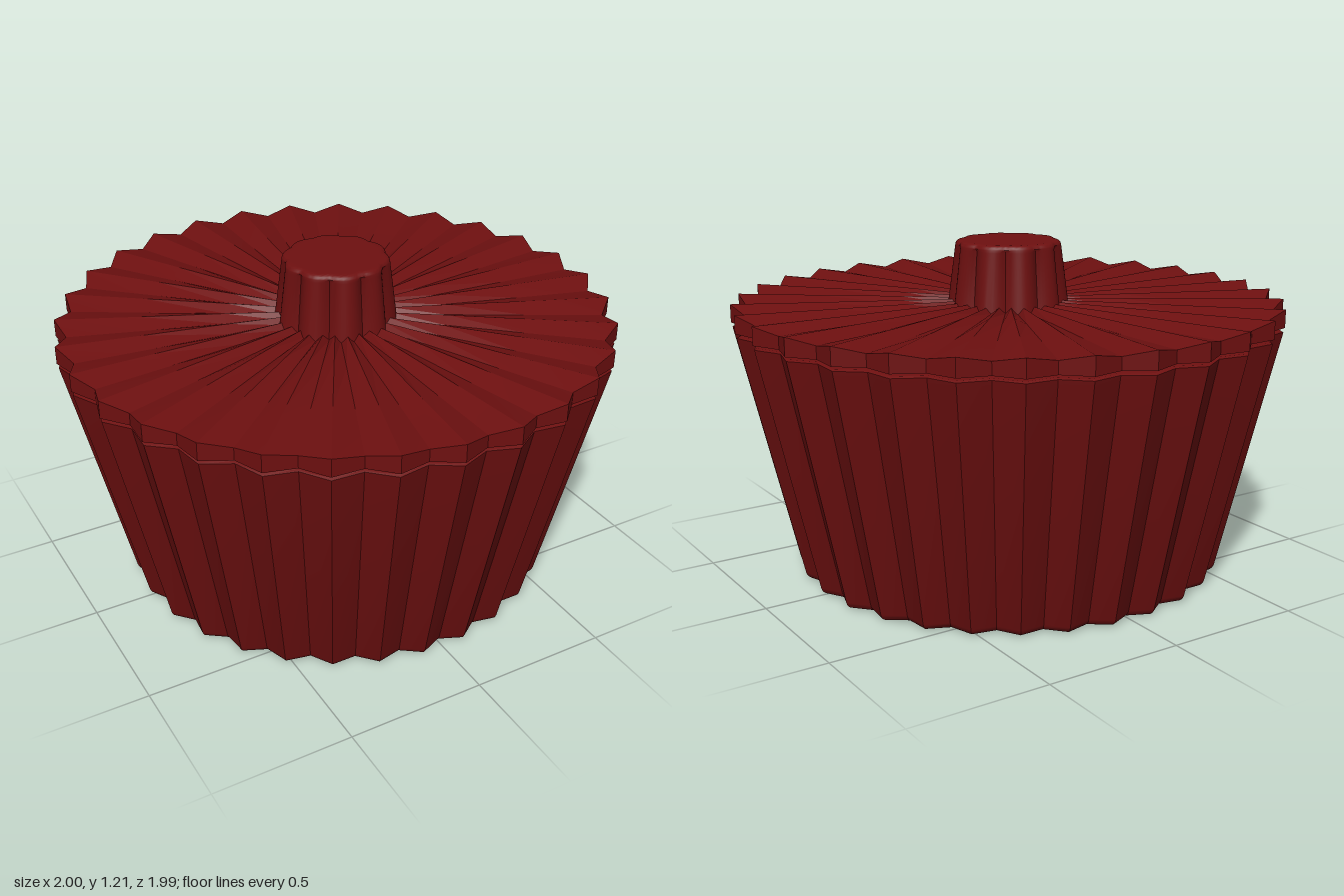
import * as THREE from 'three';
import { toCreasedNormals } from 'three/addons/utils/BufferGeometryUtils.js';

const PLEATS = 30, LOBES = 10;
const zigzag = (j) => j % 2; // 0 on a ridge, 1 in a valley
const scallop = (j) => 1 - Math.abs(Math.cos((j / 120) * LOBES * Math.PI)); // rounded lobes, sharp grooves

// Sweep a profile of [radius, height, groove depth, groove drop], bottom to top, round the y axis
function sweep(name, profile, steps, wave, crease, material) {
  const pos = [], index = [];
  for (const [r, y, depth = 0, drop = 0] of profile) {
    for (let j = 0; j < steps; j++) {
      const a = (j / steps) * Math.PI * 2, w = wave(j), rr = r - depth * w;
      pos.push(rr * Math.cos(a), y - drop * w, -rr * Math.sin(a));
    }
  }
  for (let i = 0; i < profile.length - 1; i++) {
    for (let j = 0; j < steps; j++) {
      const k = (j + 1) % steps;
      const a = i * steps + j, b = i * steps + k, c = b + steps, d = a + steps;
      if (profile[i][0] > 0) index.push(a, b, c);
      if (profile[i + 1][0] > 0) index.push(a, c, d);
      else if (profile[i][0] > 0) continue;
    }
  }
  const geo = new THREE.BufferGeometry();
  geo.setAttribute('position', new THREE.Float32BufferAttribute(pos, 3));
  geo.setIndex(index);
  const mesh = new THREE.Mesh(toCreasedNormals(geo, crease), material);
  mesh.name = name;
  return mesh;
}

// Quarter-round profile points between two directions
function round(cx, cy, radius, from, to, depth, n = 5) {
  return Array.from({ length: n + 1 }, (_, i) => {
    const a = from + ((to - from) * i) / n;
    return [cx + radius * Math.cos(a), cy + radius * Math.sin(a), depth];
  });
}

export function createModel() {
  const group = new THREE.Group();
  const red = new THREE.MeshStandardMaterial({ color: 0x6e1010, side: THREE.DoubleSide });

  // Pleated, flared cup with a rounded foot and a flat rim
  const cup = [
    [0, 0], ...round(0.755, 0.035, 0.035, -Math.PI / 2, -0.22, 0.04),
    [0.992, 0.9, 0.044], [0.995, 0.915, 0.044], [0.985, 0.92, 0.044], [0.88, 0.92],
  ];
  group.add(sweep('cup', cup, PLEATS * 2, zigzag, 0.5, red));

  // Plug that seats the lid in the cup
  const plug = [[0.88, 0.9], [0.88, 0.94]];
  group.add(sweep('lidPlug', plug, PLEATS * 2, zigzag, 0.5, red));

  // Lid: straight zigzag edge, radial folds running in to the knob
  const lid = [
    [0, 0.93], [1, 0.93, 0.044], [1, 0.995, 0.044, 0.02],
    [0.7, 0.993, 0.02, 0.02], [0.4, 0.992, 0, 0.02], [0.2, 0.99, 0, 0.022], [0, 0.97],
  ];
  group.add(sweep('lid', lid, PLEATS * 2, zigzag, 0.1, red));

  // Scalloped, tapering knob with a flat round top
  const knob = [
    [0, 0.96], [0.222, 0.96, 0.028], [0.193, 1.18, 0.018],
    ...round(0.173, 1.186, 0.019, 0.2, Math.PI / 2, 0.012), [0.155, 1.205], [0, 1.205],
  ];
  group.add(sweep('knob', knob, 120, scallop, 0.6, red));

  return group;
}
